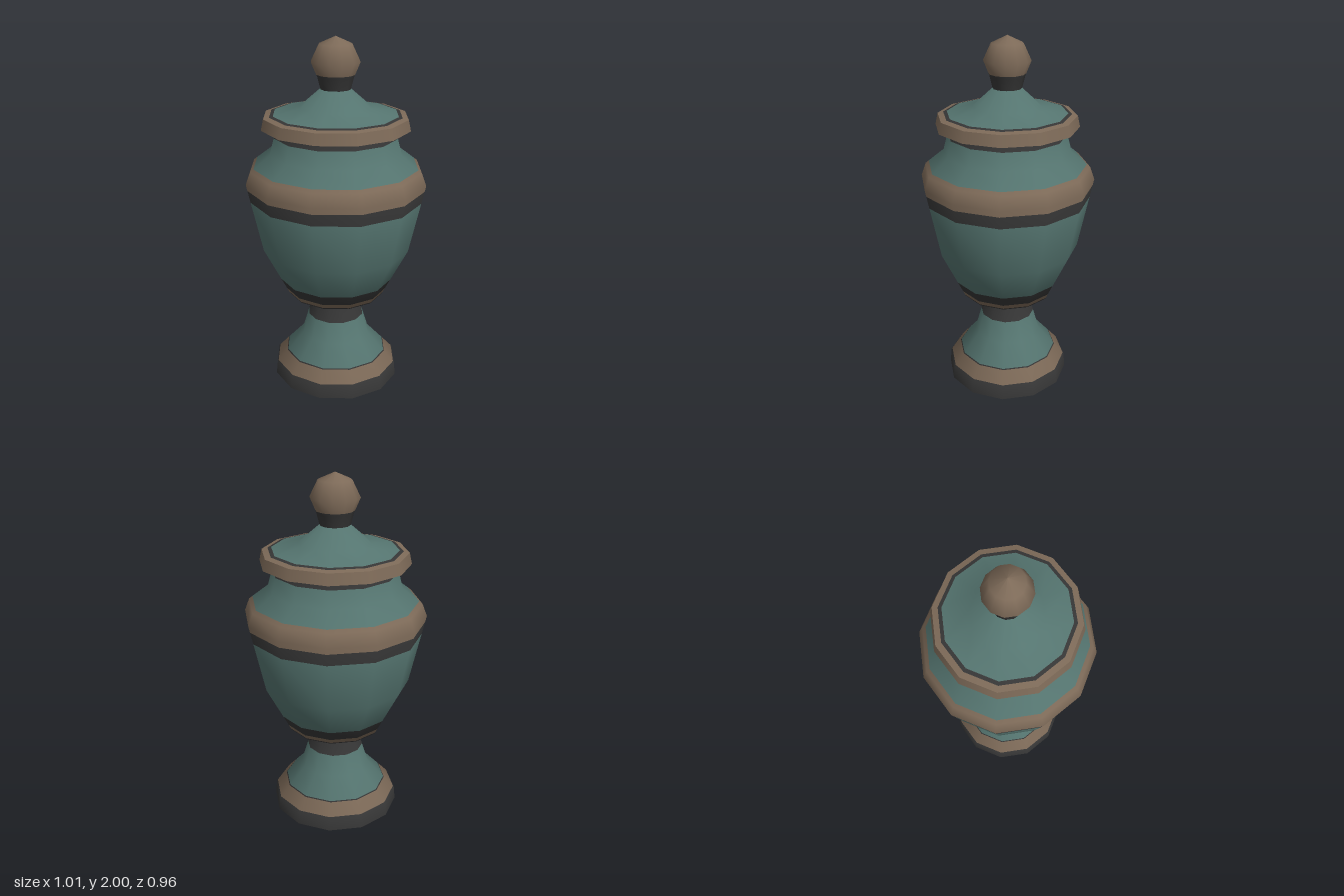
import * as THREE from 'three';

const SIDES = 12;
const DEPTH = 0.95; // the urn is slightly oval

const mat = (name, color) => {
  const m = new THREE.MeshStandardMaterial({ color });
  m.name = name;
  return m;
};

// Turned part: profile is [radius, height] points, bands are
// [position along the profile, colour index], position 1.5 = halfway from point 1 to 2.
function turn(name, profile, bands, materials) {
  const n = profile.length;
  const edgeNormals = profile.slice(1).map(([r, y], i) =>
    new THREE.Vector2(y - profile[i][1], profile[i][0] - r).normalize());
  const normals = profile.map((p, i) => {
    const a = edgeNormals[Math.max(i - 1, 0)], b = edgeNormals[Math.min(i, n - 2)];
    return a.clone().add(b).normalize();
  });
  // profile points plus the band borders
  const stops = [...new Set([...profile.keys(), ...bands.map(b => b[0])])].sort((a, b) => a - b);
  const sample = (t, list) => {
    const i = Math.min(Math.floor(t), n - 2);
    return list[i].clone().lerp(list[i + 1], t - i);
  };
  const points = profile.map(p => new THREE.Vector2(...p));
  const geo = new THREE.LatheGeometry(stops.map(t => sample(t, points)), SIDES);

  // smooth normals follow the main profile only
  const ringNormals = stops.map(t => sample(t, normals).normalize());
  const count = stops.length;
  for (let i = 0; i <= SIDES; i++) {
    const phi = (i / SIDES) * Math.PI * 2;
    ringNormals.forEach((v, j) =>
      geo.attributes.normal.setXYZ(i * count + j, v.x * Math.sin(phi), v.y, v.x * Math.cos(phi)));
  }

  // reorder the faces ring by ring and give each ring its colour
  const index = [];
  for (let j = 0; j < count - 1; j++) {
    const band = bands.filter(b => b[0] <= stops[j] + 1e-6).pop();
    geo.addGroup(index.length, SIDES * 6, band[1]);
    for (let i = 0; i < SIDES; i++) {
      const a = i * count + j, b = a + count;
      index.push(a, b, a + 1, b + 1, a + 1, b);
    }
  }
  geo.setIndex(index);
  geo.scale(1, 1, DEPTH);
  const mesh = new THREE.Mesh(geo, materials);
  mesh.name = name;
  return mesh;
}

// Position along a profile where it reaches a height between point i and i + 1
const at = (profile, i, y) => i + (y - profile[i][1]) / (profile[i + 1][1] - profile[i][1]);

export function createModel() {
  const urn = new THREE.Group();
  urn.name = 'lidded urn';
  const materials = [mat('teal', 0x557570), mat('bronze', 0x7d6a58), mat('charcoal', 0x363636)];
  const TEAL = 0, BRONZE = 1, DARK = 2;
  const add = (name, profile, bands) => urn.add(turn(name, profile, bands, materials));

  // Flared foot, hollow underneath
  const foot = [[0.373, 0], [0.365, 0.08], [0.2, 0.262], [0.138, 0.47]];
  add('foot', foot, [
    [0, DARK], [at(foot, 1, 0.086), BRONZE], [at(foot, 1, 0.15), DARK],
    [at(foot, 1, 0.155), TEAL], [at(foot, 2, 0.385), DARK],
  ]);
  const inside = foot.map(([r, y]) => [r - 0.004, y]).reverse();
  add('footInside', inside, [
    [0, TEAL], [at(inside, 1, 0.15), DARK], [at(inside, 1, 0.143), BRONZE],
  ]);

  // Bowl, shoulder and neck
  const body = [[0, 0.465], [0.138, 0.466], [0.278, 0.538], [0.422, 0.825], [0.507, 1.225],
    [0.48, 1.295], [0.37, 1.38], [0.332, 1.52]];
  add('body', body, [
    [0, DARK], [at(body, 2, 0.545), BRONZE], [at(body, 2, 0.572), DARK],
    [at(body, 2, 0.635), TEAL], [at(body, 3, 1.12), DARK], [at(body, 3, 1.19), BRONZE],
    [at(body, 5, 1.31), TEAL], [at(body, 6, 1.475), DARK],
  ]);

  // Lid: underside, rim and domed top
  add('lidUnderside', [[0.3, 1.521], [0.412, 1.521]], [[0, DARK]]);
  add('lidRim', [[0.412, 1.521], [0.398, 1.582]], [[0, BRONZE]]);
  const lid = [[0.398, 1.582], [0.195, 1.628], [0.08, 1.728], [0, 1.728]];
  add('lidTop', lid, [[0, BRONZE], [0.16, DARK], [0.26, TEAL]]);

  // Knob
  const knob = [[0.083, 1.725], [0.1, 1.79], [0.134, 1.87], [0.09, 1.96], [0, 2]];
  add('knob', knob, [[0, DARK], [at(knob, 1, 1.803), BRONZE]]);

  return urn;
}
